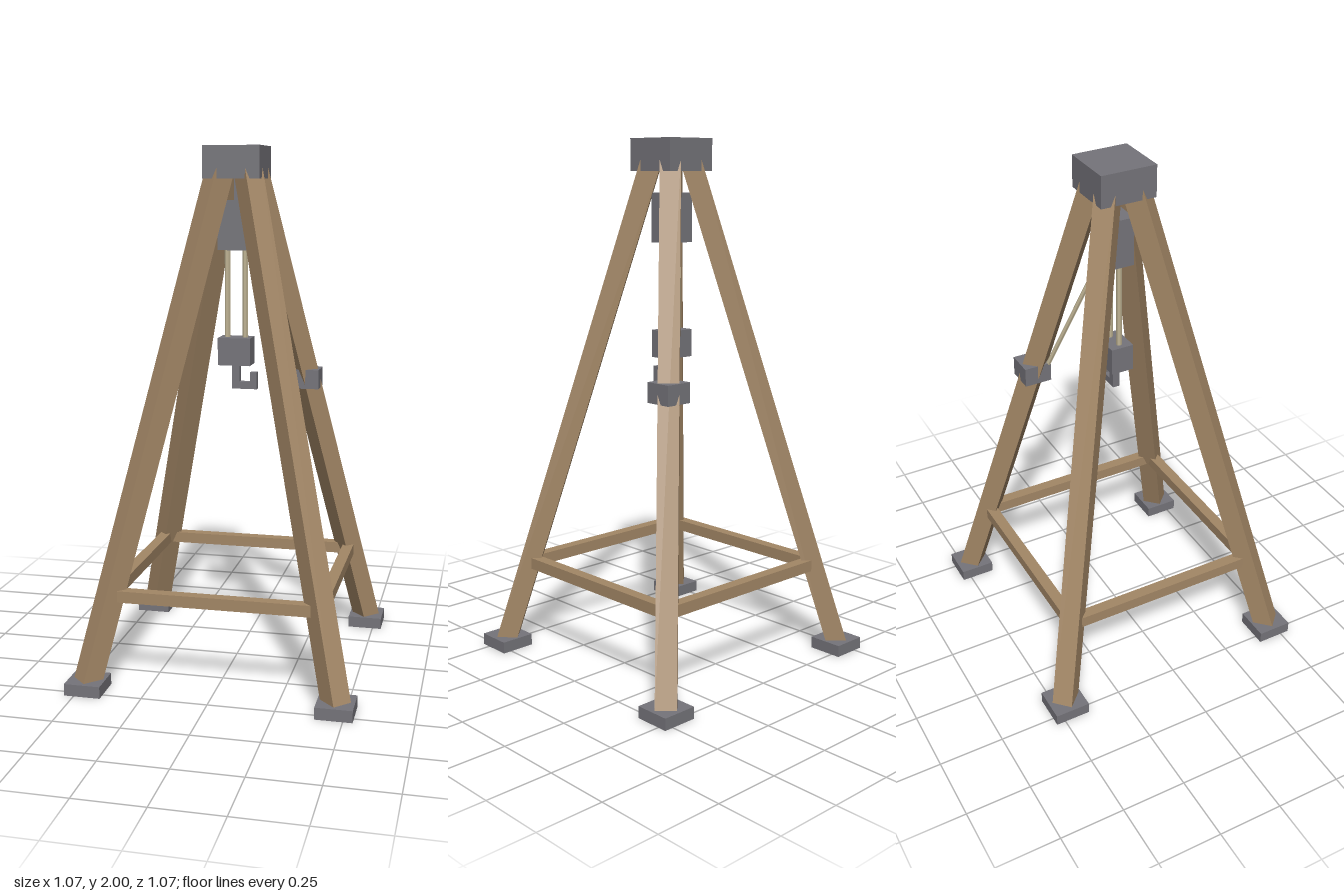
import * as THREE from 'three';

const mat = (name, color) => {
  const m = new THREE.MeshStandardMaterial({ color });
  m.name = name;
  return m;
};

export function createModel() {
  const wood = mat('wood', 0xa38766);
  const iron = mat('iron', 0x75747a);
  const rope = mat('rope', 0xbfb393);
  const model = new THREE.Group();

  const add = (name, geometry, material, x = 0, y = 0, z = 0) => {
    const mesh = new THREE.Mesh(geometry, material);
    mesh.name = name;
    mesh.position.set(x, y, z);
    model.add(mesh);
    return mesh;
  };
  const box = (name, material, w, h, d, x, y, z) =>
    add(name, new THREE.BoxGeometry(w, h, d), material, x, y, z);

  // six-sided rope between two points
  const ropeBetween = (name, a, b, radius) => {
    const dir = b.clone().sub(a);
    const g = new THREE.CylinderGeometry(radius, radius, dir.length(), 6).toNonIndexed();
    g.rotateY(Math.PI / 6);
    g.computeVertexNormals();
    const mesh = add(name, g, rope);
    mesh.position.copy(a).add(b).multiplyScalar(0.5);
    mesh.quaternion.setFromUnitVectors(new THREE.Vector3(0, 1, 0), dir.normalize());
  };

  // head block
  box('headBlock', iron, 0.216, 0.12, 0.216, 0, 1.94, 0);

  // splayed legs on square foot plates, flat faces turned outwards
  const footAt = 0.467, headAt = 0.045, legBottom = 0.03, legTop = 1.95;
  for (const sx of [-1, 1]) {
    for (const sz of [-1, 1]) {
      const bottom = new THREE.Vector3(sx * footAt, legBottom, sz * footAt);
      const top = new THREE.Vector3(sx * headAt, legTop, sz * headAt);
      const leg = box('leg', wood, 0.078, bottom.distanceTo(top), 0.078, 0, 0, 0);
      leg.position.copy(bottom).add(top).multiplyScalar(0.5);
      const tilt = Math.atan2((footAt - headAt) * Math.SQRT2, legTop - legBottom);
      leg.rotation.set(-tilt, Math.atan2(sx, sz), 0, 'YXZ');
      box('footPlate', iron, 0.137, 0.045, 0.137, sx * footAt, 0.0225, sz * footAt);
    }
  }

  // square of cross rails
  for (const s of [-1, 1]) {
    box('crossRail', wood, 0.79, 0.044, 0.044, 0, 0.355, s * 0.396);
    box('sideRail', wood, 0.044, 0.044, 0.79, s * 0.396, 0.355, 0);
  }

  // pulley blocks with hanger and falls of rope
  box('hanger', iron, 0.02, 0.1, 0.02, 0, 1.84, 0);
  box('upperPulley', iron, 0.125, 0.185, 0.09, -0.003, 1.708, 0);
  box('lowerPulley', iron, 0.125, 0.105, 0.09, -0.003, 1.231, 0);
  for (const x of [-0.037, 0.032]) {
    ropeBetween('hoistRope', new THREE.Vector3(x, 1.26, 0), new THREE.Vector3(x, 1.64, 0), 0.011);
  }

  // square-cut hook
  const outline = [
    [-0.017, 1.19], [-0.017, 1.085], [0.08, 1.085], [0.08, 1.15],
    [0.054, 1.15], [0.054, 1.112], [0.012, 1.112], [0.012, 1.19],
  ].map(([x, y]) => new THREE.Vector2(x, y));
  const hook = new THREE.ExtrudeGeometry(new THREE.Shape(outline), { depth: 0.028, bevelEnabled: false });
  add('hook', hook, iron, 0, 0, -0.014);

  // winch clamped on the back left leg, with its lead rope
  box('winch', iron, 0.108, 0.076, 0.108, 0.235, 1.098, -0.235);
  ropeBetween('leadRope', new THREE.Vector3(0, 1.73, 0), new THREE.Vector3(0.195, 1.11, -0.195), 0.009);

  return model;
}
